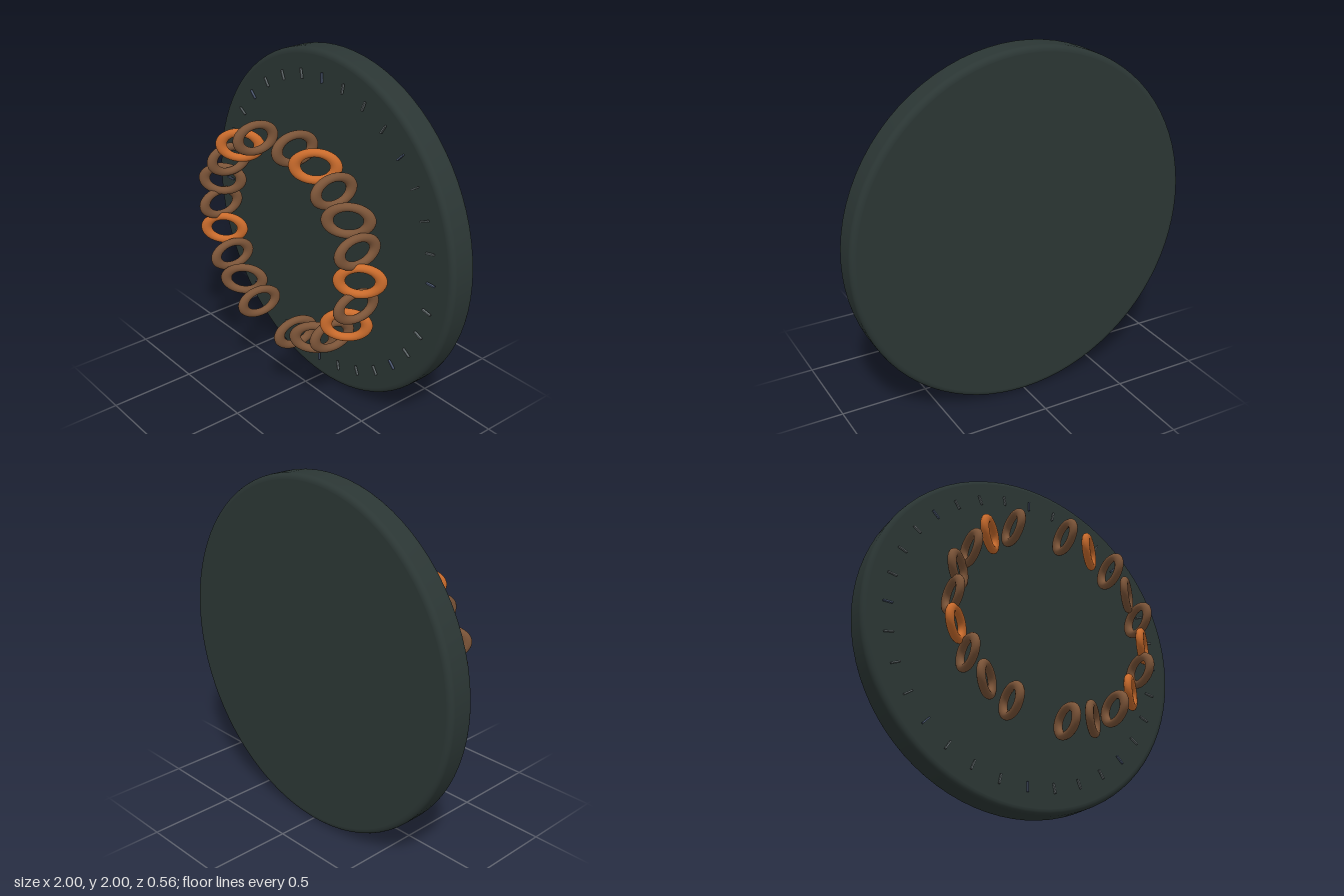
import * as THREE from 'three';

const mat = (name, color) => {
  const m = new THREE.MeshStandardMaterial({ color });
  m.name = name;
  return m;
};

export function createModel() {
  const model = new THREE.Group();
  model.name = 'ringDial';
  const slate = mat('dark slate', 0x2b3634);
  const orange = mat('copper orange', 0xc96b2c);
  const brown = mat('dull brown', 0x7b5438);
  const grey = mat('tick grey', 0x626a6c);
  const blue = mat('tick blue', 0x4c5870);

  const add = (name, geometry, material, parent = model) => {
    const mesh = new THREE.Mesh(geometry, material);
    mesh.name = name;
    parent.add(mesh);
    return mesh;
  };

  // Backing disc with rounded rims
  const h = 0.08, b = 0.03;
  const profile = [new THREE.Vector2(0, -h), new THREE.Vector2(0.968, -h)];
  for (const side of [-1, 1]) {
    for (let i = 0; i <= 5; i++) {
      const a = (side < 0 ? i - 5 : i) / 5 * Math.PI / 2;
      profile.push(new THREE.Vector2(1 - b + b * Math.cos(a), side * (h - b) + b * Math.sin(a)));
    }
  }
  profile.push(new THREE.Vector2(0.968, h), new THREE.Vector2(0, h));
  const disc = add('backDisc', new THREE.LatheGeometry(profile, 80), slate);
  disc.rotation.x = Math.PI / 2;
  disc.position.set(0, 1, -0.2);

  // Circle of 32 tick marks floating just in front of the disc
  const ticks = new THREE.Group();
  ticks.name = 'tickMarks';
  model.add(ticks);
  const tickGeo = new THREE.BoxGeometry(0.056, 0.008, 0.013);
  for (let i = 0; i < 32; i++) {
    const a = i / 32 * Math.PI * 2;
    const tick = add('tick', tickGeo, i % 4 === 0 ? blue : grey, ticks);
    tick.position.set(0.86 * Math.cos(a), 1 + 0.86 * Math.sin(a), -0.106);
    tick.rotation.z = a;
  }

  // Chain of oval links on an ellipse, alternately turned, with two gaps
  const chain = new THREE.Group();
  chain.name = 'linkChain';
  model.add(chain);
  const linkGeo = new THREE.TorusGeometry(0.075, 0.0225, 14, 40);
  linkGeo.scale(1.43, 1, 1);
  for (let k = 0; k < 22; k++) {
    if (k === 6 || k === 16) continue;
    const a = k / 22 * Math.PI * 2;
    const link = add('link', linkGeo, k % 4 === 0 ? orange : brown, chain);
    link.position.set(0.61 * Math.cos(a), 1 + 0.56 * Math.sin(a), 0.142);
    link.rotation.y = k % 2 === 0 ? Math.PI / 4 : 1.45;
  }
  return model;
}
